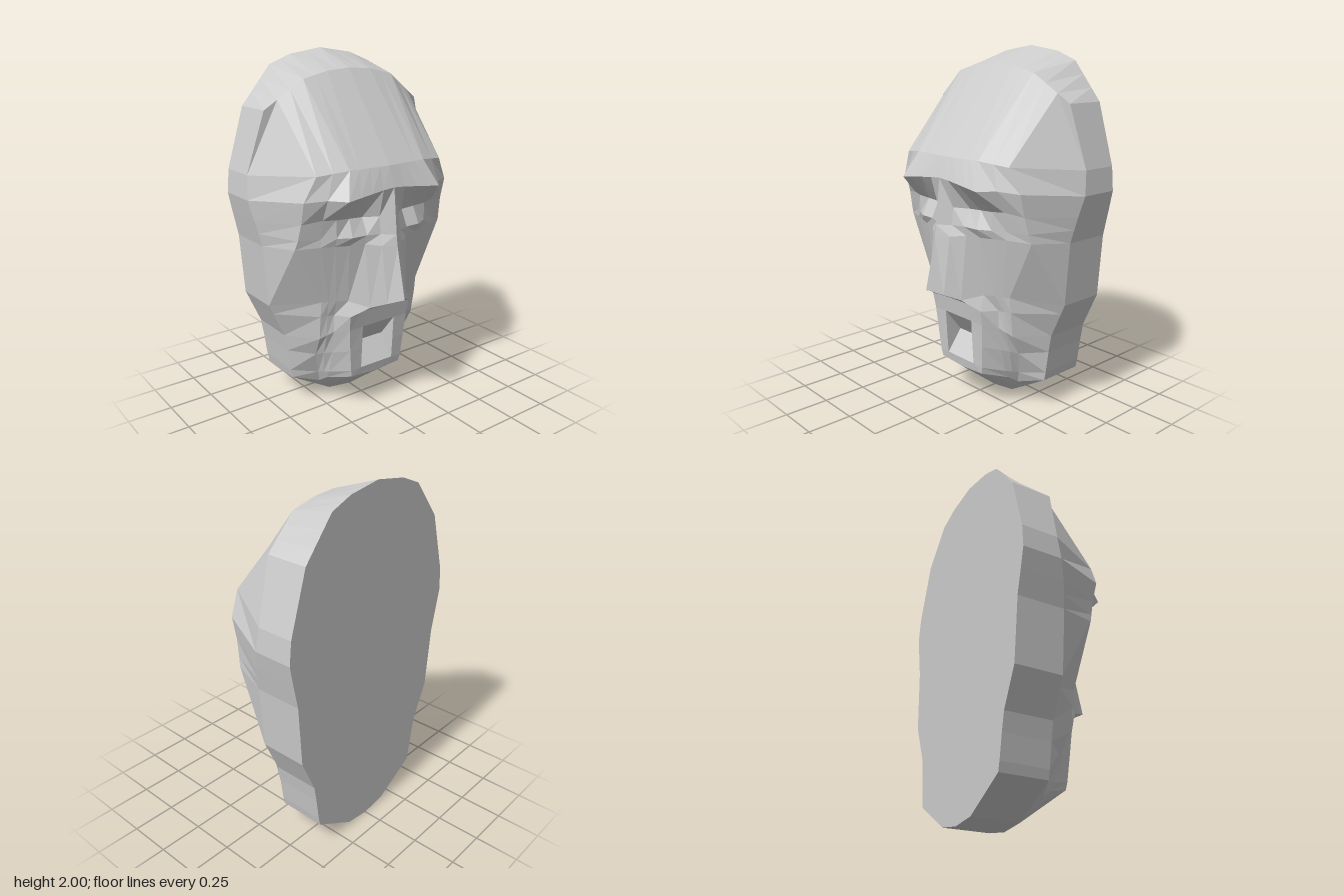
import * as THREE from 'three';

const BACK = -0.39;
const grey = new THREE.MeshStandardMaterial({ color: 0xcccccc, flatShading: true });

// Half cross-section from the centre line outward. Each key is [x, y, z, steps from the previous key].
// One point is doubled so the mouth can have a rim and an inside corner.
function halfRow(keys, rim) {
  const pts = [new THREE.Vector3(...keys[0].slice(0, 3))];
  for (const [x, y, z, steps = 1] of keys.slice(1)) {
    const from = pts[pts.length - 1], to = new THREE.Vector3(x, y, z);
    for (let i = 1; i <= steps; i++) pts.push(from.clone().lerp(to, i / steps));
  }
  pts.splice(3, 0, rim ? new THREE.Vector3(...rim) : pts[2].clone());
  return pts;
}

// Mirrors a half cross-section into a full one, running from -x to +x
function row(keys, rim) {
  const half = halfRow(keys, rim);
  const mirrored = half.slice(1).reverse().map(p => new THREE.Vector3(-p.x, p.y, p.z));
  return [...mirrored, ...half];
}

// Flat-shaded skin across successive rows, with mirrored diagonals
function skin(name, rows) {
  const pos = [];
  const tri = (a, b, c) => {
    if (new THREE.Triangle(a, b, c).getArea() > 1e-6) {
      for (const p of [a, b, c]) pos.push(p.x, p.y, p.z);
    }
  };
  for (let i = 0; i < rows.length - 1; i++) {
    for (let j = 0; j < rows[i].length - 1; j++) {
      const a = rows[i][j], b = rows[i][j + 1], c = rows[i + 1][j], d = rows[i + 1][j + 1];
      if (a.x + b.x < 0) { tri(c, d, b); tri(c, b, a); }
      else { tri(a, c, d); tri(a, d, b); }
    }
  }
  const geo = new THREE.BufferGeometry();
  geo.setAttribute('position', new THREE.Float32BufferAttribute(pos, 3));
  geo.computeVertexNormals();
  const mesh = new THREE.Mesh(geo, grey);
  mesh.name = name;
  return mesh;
}

export function createModel() {
  const group = new THREE.Group();
  group.name = 'maskHead';

  // Forehead
  const crownBack = row([[0, 2, BACK], [0.2, 1.97, BACK, 2], [0.33, 1.92, BACK, 2], [0.505, 1.71, BACK, 3]]);
  const crown = row([[0, 1.905, -0.11], [0.14, 1.895, -0.11, 2], [0.29, 1.86, -0.11, 2], [0.505, 1.71, -0.155, 3]]);
  const forehead = row([[0, 1.43, 0.25], [0.245, 1.43, 0.235, 4], [0.41, 1.41, 0.18, 2], [0.605, 1.38, -0.18]]);
  const brow = row([[0, 1.32, 0.29], [0.07, 1.315, 0.29], [0.3, 1.29, 0.305, 3], [0.37, 1.29, 0.22],
    [0.475, 1.28, 0.16], [0.617, 1.25, -0.165]]);

  // Eye sockets and lids
  const socket = row([[0, 1.17, 0.305], [0.065, 1.165, 0.25], [0.135, 1.16, 0.19], [0.3, 1.17, 0.19, 2],
    [0.37, 1.175, 0.17], [0.475, 1.16, 0.13], [0.595, 1.14, -0.14]]);
  const lid = row([[0, 1.07, 0.315], [0.065, 1.07, 0.26], [0.135, 1.07, 0.235], [0.225, 1.07, 0.23],
    [0.37, 1.07, 0.15, 2], [0.485, 1.07, 0.11], [0.58, 1.07, -0.13]]);

  // Cheeks and nose
  const cheek = row([[0, 1, 0.325], [0.07, 1.01, 0.28], [0.14, 1.02, 0.225], [0.225, 1.02, 0.2],
    [0.37, 1.025, 0.15, 2], [0.495, 1.02, 0.095], [0.565, 1, -0.12]]);
  const noseTip = row([[0, 0.72, 0.39], [0.125, 0.66, 0.25, 2], [0.2, 0.685, 0.15], [0.26, 0.69, 0.125],
    [0.335, 0.69, 0.09, 2], [0.54, 0.65, -0.12]]);
  const noseBase = row([[0, 0.62, 0.18], [0.125, 0.615, 0.18, 2], [0.205, 0.6, 0.18], [0.26, 0.6, 0.1],
    [0.335, 0.6, 0.08, 2], [0.515, 0.595, -0.12]]);

  // Mouth with an inset fold
  const upperLip = row([[0, 0.515, 0.165], [0.11, 0.515, 0.165, 2], [0.2, 0.51, 0.165], [0.26, 0.5, 0.1],
    [0.33, 0.46, 0.06, 2], [0.45, 0.45, -0.12]]);
  const mouthFold = row([[0, 0.38, 0.06], [0.105, 0.38, 0.06, 2], [0.19, 0.38, 0.155], [0.255, 0.36, 0.07],
    [0.32, 0.34, 0, 2], [0.433, 0.35, -0.12]], [0.11, 0.38, 0.157]);
  const lowerLip = row([[0, 0.255, 0.148], [0.11, 0.255, 0.148, 2], [0.178, 0.25, 0.145], [0.25, 0.22, 0.03],
    [0.28, 0.2, -0.04, 2], [0.415, 0.22, -0.12]]);

  // Chin
  const chin = row([[0, 0.2, 0.14], [0.17, 0.21, 0.14, 3], [0.245, 0.17, 0], [0.26, 0.13, -0.06, 2], [0.405, 0.17, -0.12]]);
  const jaw = row([[0, 0, -0.12], [0.15, 0.02, -0.12, 3], [0.235, 0.07, -0.12], [0.27, 0.09, -0.12, 2], [0.405, 0.17, -0.12]]);

  group.add(
    skin('forehead', [crown, forehead, brow]),
    skin('eyes', [brow, socket, lid, cheek]),
    skin('noseAndCheeks', [cheek, noseTip, noseBase]),
    skin('mouth', [noseBase, upperLip, mouthFold, lowerLip]),
    skin('chin', [lowerLip, chin, jaw])
  );

  // Side band from the face outline straight to the flat back
  const levels = [forehead, brow, socket, lid, cheek, noseTip, noseBase, upperLip, mouthFold, lowerLip, chin];
  const lower = [
    ...levels.map(r => r[r.length - 1]),
    ...[...jaw].reverse(),
    ...[...levels].reverse().map(r => r[0]),
    crown[0]
  ];
  const rim = [...crown, ...lower];
  const backRim = [...crownBack, ...lower.map(p => new THREE.Vector3(p.x, p.y, BACK))];
  group.add(skin('sideBand', [backRim, rim]));

  // Flat back
  const outline = new THREE.Shape(backRim.slice(0, -1).map(p => new THREE.Vector2(p.x, p.y)));
  const back = new THREE.Mesh(new THREE.ShapeGeometry(outline), grey);
  back.name = 'backPlate';
  back.rotation.y = Math.PI;
  back.position.z = BACK;
  group.add(back);

  return group;
}
